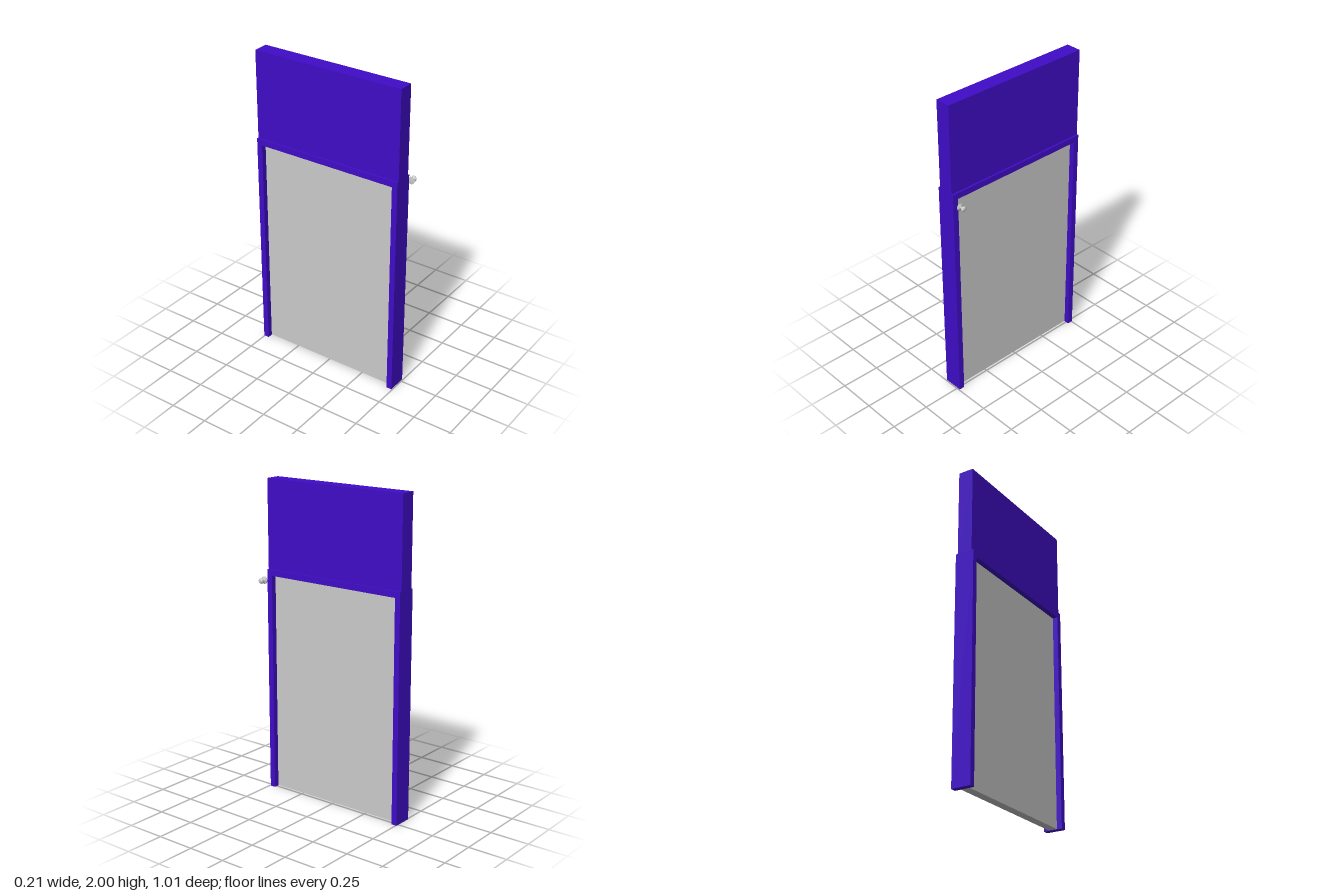
import * as THREE from 'three';

const purple = new THREE.MeshStandardMaterial({ color: 0x400cc8 });
const grey = new THREE.MeshStandardMaterial({ color: 0xcccccc });

const CX = -0.042; // middle plane of the wall, frame and door
const Z0 = -0.505, Z1 = 0.494; // ends of the wall
const FRAME_TOP = 1.44, OPEN_TOP = 1.402, STILE = 0.036;

function add(group, name, geometry, material) {
  const mesh = new THREE.Mesh(geometry, material);
  mesh.name = name;
  group.add(mesh);
  return mesh;
}

// Box centred on the wall plane, given its thickness and its y and z ranges
function slab(thickness, y0, y1, z0, z1) {
  return new THREE.BoxGeometry(thickness, y1 - y0, z1 - z0)
    .translate(CX, (y0 + y1) / 2, (z0 + z1) / 2);
}

export function createModel() {
  const model = new THREE.Group();
  model.name = 'doorway';

  // Wall section above the door
  add(model, 'upperWall', slab(0.098, FRAME_TOP, 2, Z0, Z1), purple);

  // Door frame: an upside-down U drawn in (z, y) and extruded along x
  const u = new THREE.Shape([
    [Z0, 0], [Z0 + STILE, 0], [Z0 + STILE, OPEN_TOP], [Z1 - STILE, OPEN_TOP],
    [Z1 - STILE, 0], [Z1, 0], [Z1, FRAME_TOP], [Z0, FRAME_TOP],
  ].map(([z, y]) => new THREE.Vector2(-z, y)));
  const depth = 0.124;
  const frame = new THREE.ExtrudeGeometry(u, { depth, bevelEnabled: false })
    .translate(0, 0, -depth / 2)
    .rotateY(Math.PI / 2)
    .translate(CX, 0, 0);
  add(model, 'doorFrame', frame, purple);

  // Door leaf, recessed on both sides
  add(model, 'doorLeaf', slab(0.056, 0.003, OPEN_TOP, Z0 + STILE, Z1 - STILE), grey);

  // Door knob: backplate, waisted neck and rounded grip turned about x
  const profile = [
    [0, 0], [0.023, 0], [0.023, 0.004], [0.02, 0.007], [0.009, 0.009],
    [0.006, 0.015], [0.007, 0.02], [0.014, 0.024], [0.0175, 0.029],
    [0.0175, 0.034], [0.014, 0.039], [0.008, 0.0415], [0, 0.042],
  ].map(([r, h]) => new THREE.Vector2(r, h));
  const knob = add(model, 'doorKnob', new THREE.LatheGeometry(profile, 20), grey);
  knob.rotation.z = -Math.PI / 2;
  knob.position.set(0.062, 1.38, 0.481);

  return model;
}
